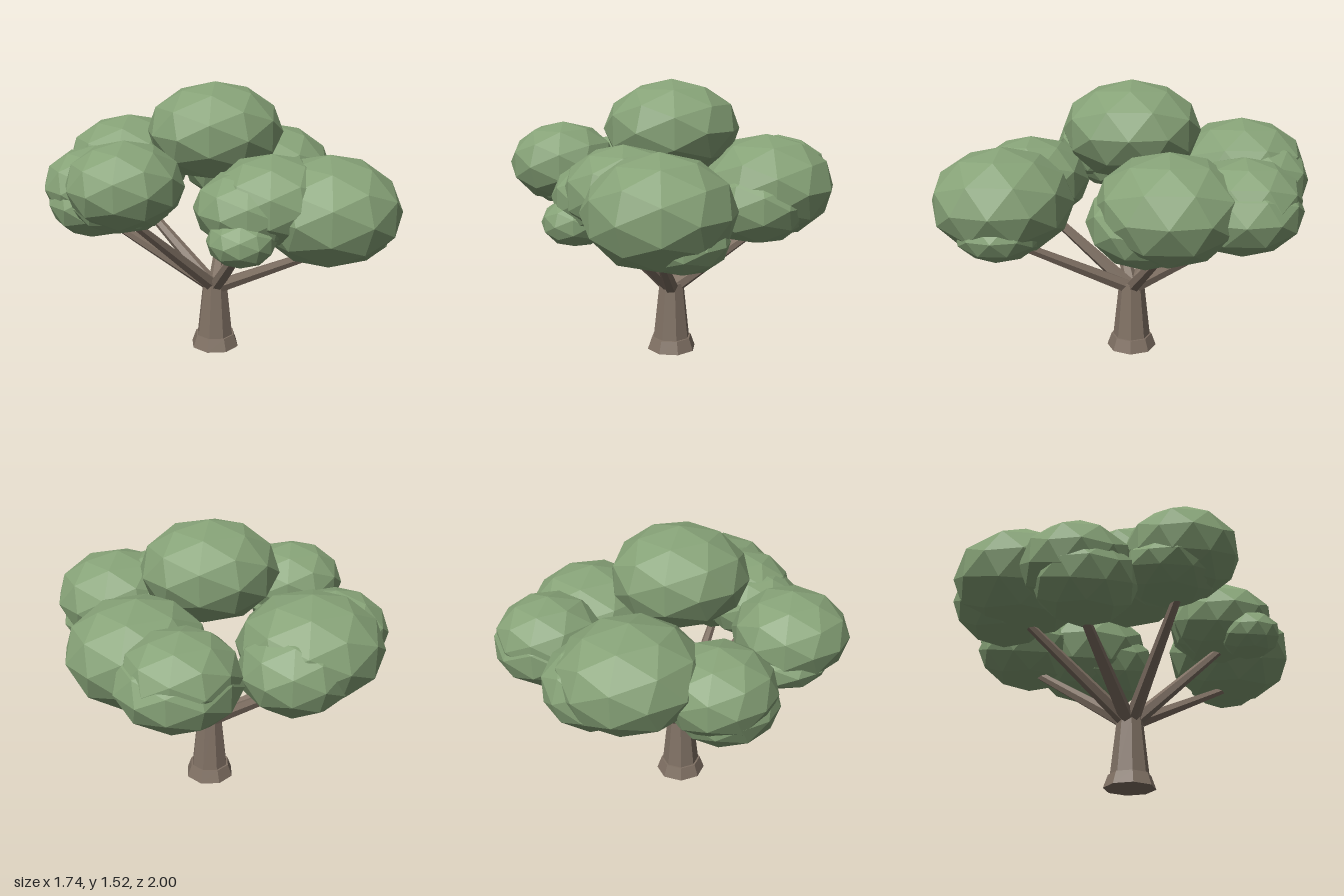
import * as THREE from 'three';

const leaf = new THREE.MeshStandardMaterial({ color: 0x86a277 });
leaf.name = 'leafGreen';
leaf.flatShading = true;
const bark = new THREE.MeshStandardMaterial({ color: 0x807164 });
bark.name = 'barkBrown';
bark.flatShading = true;

const CENTRE = [0.025, -0.02]; // trunk axis in x, z

// Leaf clusters carried by a branch: x, y, z, radius, half height
const CARRIED = {
  frontLeft: [0.325, 0.937, 0.63, 0.37, 0.28],
  left: [0.5, 0.955, -0.22, 0.37, 0.28],
  backRight: [-0.24, 1.02, -0.63, 0.365, 0.265],
  backLeft: [0.42, 0.98, -0.59, 0.29, 0.215],
  frontRight: [-0.57, 1.06, 0.165, 0.3, 0.225],
  right: [-0.55, 0.95, -0.36, 0.29, 0.22],
  front: [-0.05, 0.96, 0.5, 0.28, 0.2],
};

// Free clusters that rest on or beneath the carried ones
const RESTING = {
  crown: [0.025, 1.26, -0.02, 0.37, 0.265],
  frontUpper: [0.06, 0.995, 0.52, 0.305, 0.23],
  frontTip: [-0.16, 0.84, 0.62, 0.17, 0.125],
  frontLeftLower: [0.44, 0.81, 0.63, 0.23, 0.15],
  leftLower: [0.49, 0.88, -0.11, 0.3, 0.225],
  backRightLower: [-0.11, 0.96, -0.72, 0.28, 0.22],
  backLeftLower: [0.43, 0.93, -0.575, 0.315, 0.215],
  rightLower: [-0.56, 0.87, -0.32, 0.27, 0.205],
  frontRightLower: [-0.56, 0.95, 0.1, 0.26, 0.14],
};

function cluster(name, [x, y, z, r, h]) {
  const mesh = new THREE.Mesh(new THREE.IcosahedronGeometry(1, 1), leaf);
  mesh.name = name;
  mesh.position.set(x, y, z);
  mesh.scale.set(r, h, r);
  return mesh;
}

// Tapered limb between two points
function limb(name, from, to, r0, r1, sides) {
  const dir = to.clone().sub(from);
  const mesh = new THREE.Mesh(new THREE.CylinderGeometry(r1, r0, dir.length(), sides), bark);
  mesh.name = name;
  mesh.position.copy(from).addScaledVector(dir, 0.5);
  mesh.quaternion.setFromUnitVectors(new THREE.Vector3(0, 1, 0), dir.normalize());
  return mesh;
}

export function createModel() {
  const tree = new THREE.Group();
  tree.name = 'tree';
  const axis = (y) => new THREE.Vector3(CENTRE[0], y, CENTRE[1]);

  // Flared foot and tapered trunk
  tree.add(limb('trunkFoot', axis(0), axis(0.07), 0.14, 0.115, 8));
  tree.add(limb('trunk', axis(0.07), axis(0.39), 0.105, 0.07, 8));

  // Branches fan out of the trunk top into the underside of their clusters
  const branches = new THREE.Group();
  branches.name = 'branches';
  const canopy = new THREE.Group();
  canopy.name = 'canopy';
  for (const [name, c] of Object.entries(CARRIED)) {
    canopy.add(cluster(name + 'LeafCluster', c));
    const end = new THREE.Vector3(c[0], c[1] - 0.75 * c[4], c[2]);
    branches.add(limb(name + 'Branch', axis(0.35), end, 0.042, 0.022, 6));
  }
  for (const [name, c] of Object.entries(RESTING)) canopy.add(cluster(name + 'LeafCluster', c));
  tree.add(branches, canopy);
  return tree;
}
